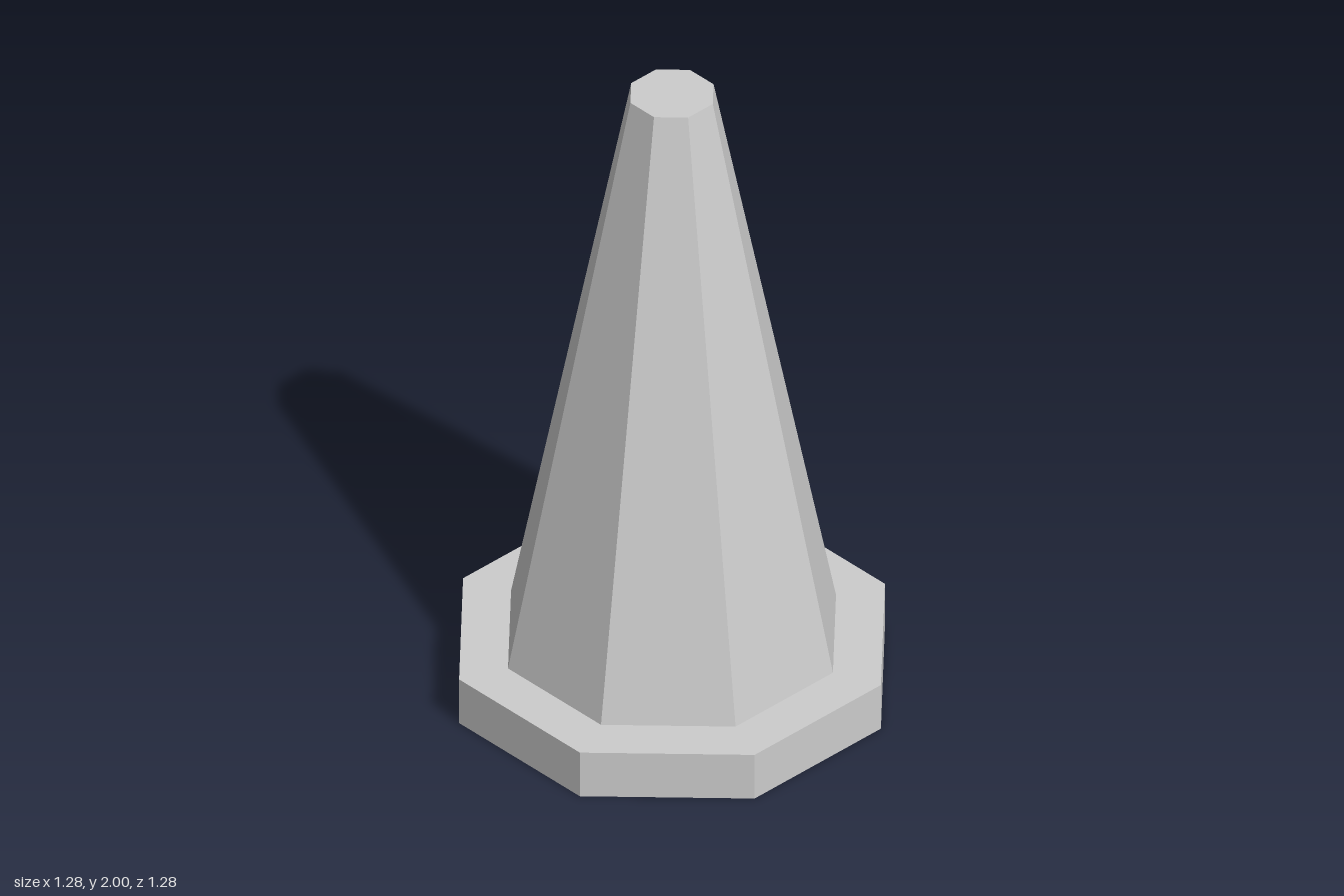
import * as THREE from 'three';

const SIDES = 8;

export function createModel() {
  const group = new THREE.Group();
  group.name = 'trafficCone';
  const grey = new THREE.MeshStandardMaterial({ color: 0xcccccc, flatShading: true });
  grey.name = 'light grey';

  // Octagonal frustum standing on height y, with corners on the x and z axes
  const addFrustum = (name, topRadius, bottomRadius, y, height) => {
    const geometry = new THREE.CylinderGeometry(topRadius, bottomRadius, height, SIDES);
    const mesh = new THREE.Mesh(geometry, grey);
    mesh.name = name;
    mesh.position.y = y + height / 2;
    group.add(mesh);
  };

  addFrustum('base', 0.64, 0.64, 0, 0.15);
  addFrustum('coneBody', 0.125, 0.493, 0.15, 1.85);

  return group;
}
